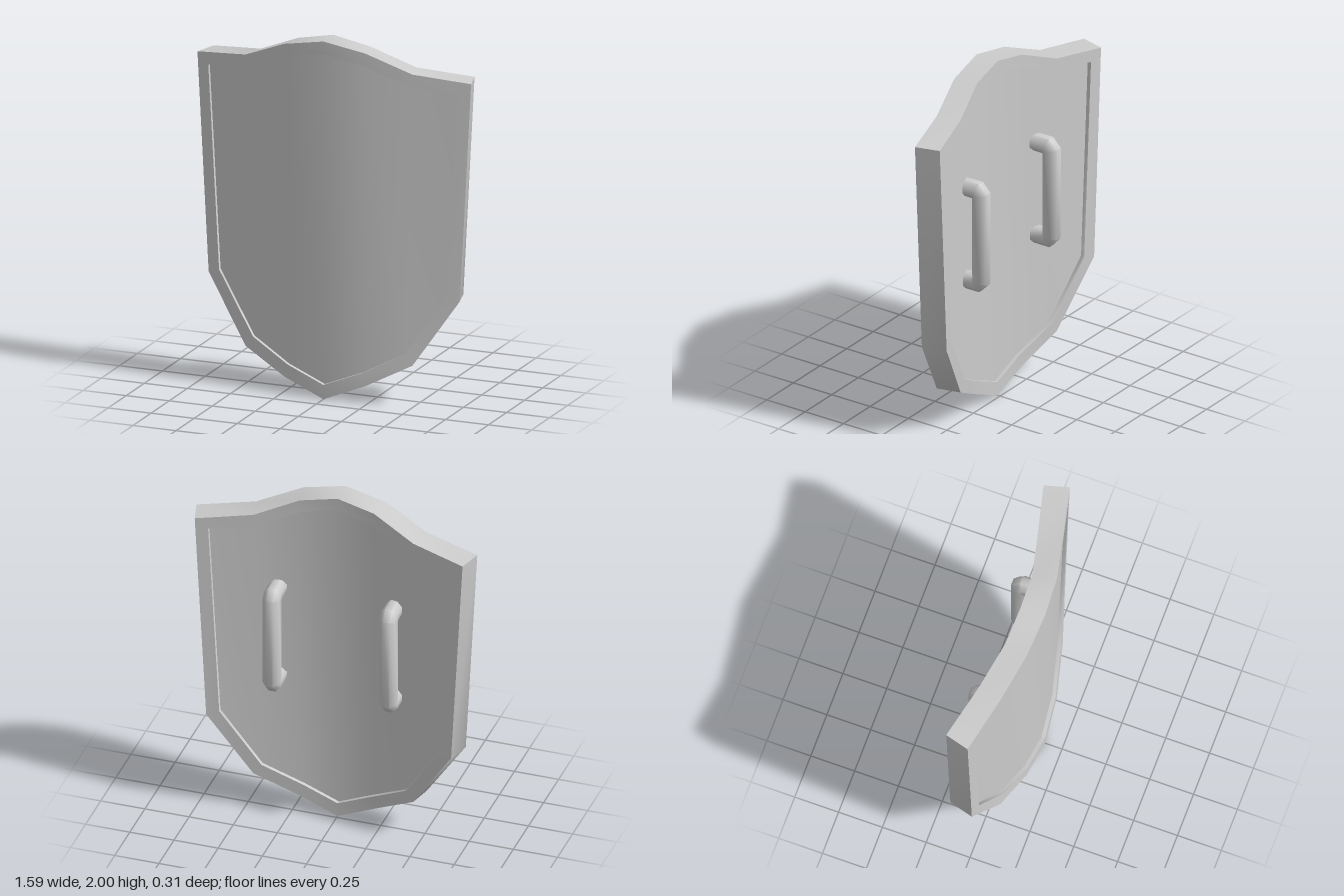
import * as THREE from 'three';
import { mergeGeometries, toCreasedNormals } from 'three/addons/utils/BufferGeometryUtils.js';

const material = new THREE.MeshStandardMaterial({ color: 0xcccccc });

// Half outlines: top centre -> corner -> bottom centre, [x, y, column]
const OUTER = [[0, 2, 0], [0.235, 1.955, 1], [0.485, 1.85, 2], [0.795, 1.812, 3],
  [0.73, 0.59, 3], [0.485, 0.222, 2], [0.235, 0.095, 1], [0, 0, 0]];
const INNER = [[0, 1.93, 0], [0.225, 1.885, 1], [0.465, 1.782, 2], [0.725, 1.75, 3],
  [0.662, 0.612, 3], [0.44, 0.28, 2], [0.215, 0.165, 1], [0, 0.08, 0]];

// Depth of each column of the curved shield, and the back's inward shift in x
const OUTER_FRONT = [0.153, 0.135, 0.076, 0.003];
const OUTER_BACK = [0.015, 0.003, -0.057, -0.133];
const INNER_FRONT = [0.153, 0.136, 0.08, 0.02];
const INNER_BACK = [0.015, 0.004, -0.052, -0.116];
const SHIFT = [0, 0.025, 0.032, 0.037];
const RECESS = 0.021;

// Full mirrored ring, clockwise seen from the front
function ring(half, depths, back, dz = 0) {
  const right = half.map(([x, y, c]) =>
    new THREE.Vector3(x - (back ? SHIFT[c] : 0), y, depths[c] + dz));
  const left = right.slice(1, -1).reverse().map(p => new THREE.Vector3(-p.x, p.y, p.z));
  return [...right, ...left];
}

// Quads between two rows of points
function strip(a, b, closed = true) {
  const pos = [];
  const n = closed ? a.length : a.length - 1;
  for (let i = 0; i < n; i++) {
    const j = (i + 1) % a.length;
    for (const p of [a[i], b[i], b[j], a[i], b[j], a[j]]) pos.push(p.x, p.y, p.z);
  }
  const g = new THREE.BufferGeometry();
  g.setAttribute('position', new THREE.Float32BufferAttribute(pos, 3));
  return g;
}

const loft = rings => mergeGeometries(rings.slice(1).map((r, i) => strip(rings[i], r)));

function mesh(name, geometry, crease) {
  const m = new THREE.Mesh(toCreasedNormals(geometry, crease), material);
  m.name = name;
  return m;
}

// Top and bottom rows of a ring, both left to right
function rows(r) {
  const top = [11, 12, 13, 0, 1, 2, 3].map(i => r[i]);
  const bottom = [10, 9, 8, 7, 6, 5, 4].map(i => r[i]);
  return [top, bottom];
}

// Eight-sided bar mitred along a path in the y-z plane
function handleGeometry() {
  const path = [[0.275, 0.03], [0.275, -0.085], [0.25, -0.108],
    [-0.25, -0.108], [-0.275, -0.085], [-0.275, 0.03]].map(p => new THREE.Vector2(...p));
  const normals = path.slice(1).map((p, i) => {
    const t = p.clone().sub(path[i]).normalize();
    return new THREE.Vector2(-t.y, t.x);
  });
  const radius = 0.047 / Math.cos(Math.PI / 8);
  const rings = path.map((p, i) => {
    const n1 = normals[Math.max(i - 1, 0)];
    const n2 = normals[Math.min(i, normals.length - 1)];
    const m = n1.clone().add(n2).divideScalar(1 + n1.dot(n2));
    return Array.from({ length: 8 }, (_, k) => {
      const a = (k + 0.5) * Math.PI / 4;
      const s = radius * Math.sin(a);
      return new THREE.Vector3(radius * Math.cos(a), p.x + m.x * s, p.y + m.y * s);
    });
  });
  return loft(rings);
}

export function createModel() {
  const group = new THREE.Group();
  group.name = 'shield';

  const panelFront = ring(INNER, INNER_FRONT, false, -RECESS);
  const panelBack = ring(INNER, INNER_BACK, true, RECESS);

  // Raised border around both faces
  group.add(mesh('rim', loft([
    panelBack,
    ring(INNER, INNER_BACK, true),
    ring(OUTER, OUTER_BACK, true),
    ring(OUTER, OUTER_FRONT, false),
    ring(INNER, INNER_FRONT, false),
    panelFront,
  ]), 0.6));

  // Recessed curved faces
  const [ft, fb] = rows(panelFront);
  const [bt, bb] = rows(panelBack);
  group.add(mesh('frontPanel', strip(ft, fb, false), 0.6));
  group.add(mesh('backPanel', strip(bb, bt, false), 0.6));

  // Pair of grips on the back
  for (const side of [1, -1]) {
    const handle = mesh(side > 0 ? 'leftHandle' : 'rightHandle', handleGeometry(), 0.9);
    handle.position.set(side * 0.33, 1.115, 0);
    group.add(handle);
  }
  return group;
}
